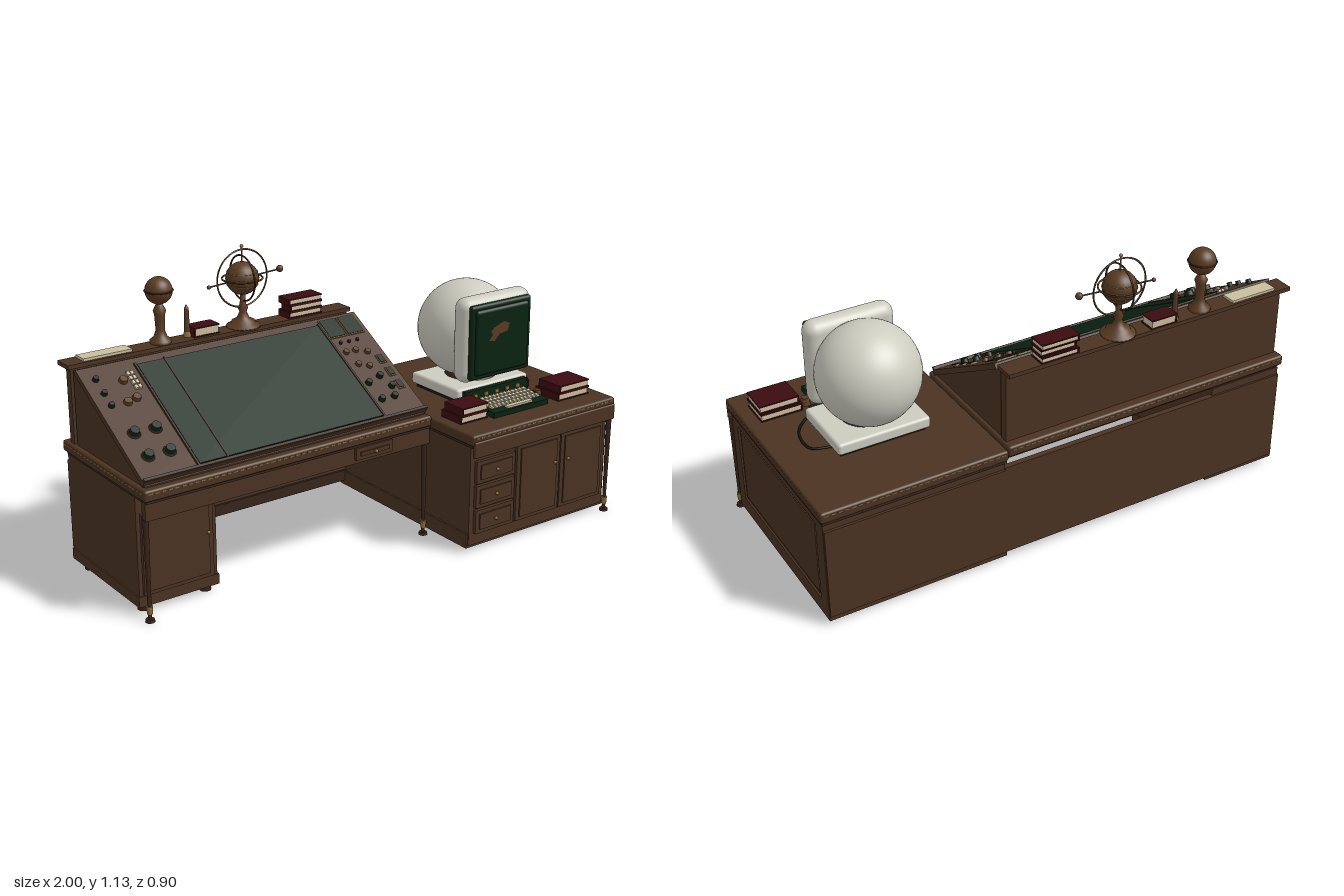
import * as THREE from 'three';
import { RoundedBoxGeometry } from 'three/addons/geometries/RoundedBoxGeometry.js';

export function createModel() {
  const root = new THREE.Group();
  root.name = 'consoleDesk';
  const mat = (name, color) => {
    const m = new THREE.MeshStandardMaterial({ color });
    m.name = name;
    return m;
  };
  const wood = mat('wood', 0x4b3322), darkWood = mat('darkWood', 0x38251a), green = mat('darkGreen', 0x0a2312);
  const shell = mat('paleShell', 0xccccc0), cream = mat('cream', 0xc9be9e), red = mat('bookRed', 0x3a0b10);
  const brass = mat('brass', 0x8f6e38), black = mat('black', 0x14170f), bronze = mat('bronze', 0x5a3b22);

  const add = (name, geo, m, x, y, z, parent = root) => {
    const mesh = new THREE.Mesh(geo, m);
    mesh.name = name;
    mesh.position.set(x, y, z);
    parent.add(mesh);
    return mesh;
  };
  // box given by its limits
  const box = (name, m, x0, x1, y0, y1, z0, z1, parent = root) =>
    add(name, new THREE.BoxGeometry(x1 - x0, y1 - y0, z1 - z0), m, (x0 + x1) / 2, (y0 + y1) / 2, (z0 + z1) / 2, parent);
  const rounded = (name, m, x0, x1, y0, y1, z0, z1, r, seg = 3) =>
    add(name, new RoundedBoxGeometry(x1 - x0, y1 - y0, z1 - z0, seg, r), m, (x0 + x1) / 2, (y0 + y1) / 2, (z0 + z1) / 2);
  const cyl = (name, m, r0, r1, h, x, y, z, parent = root, seg = 16) =>
    add(name, new THREE.CylinderGeometry(r1, r0, h, seg), m, x, y, z, parent);
  const ball = (name, m, r, x, y, z, parent = root, seg = 24) =>
    add(name, new THREE.SphereGeometry(r, seg, seg * 0.75), m, x, y, z, parent);
  const lathe = (name, m, pts, x, y, z) =>
    add(name, new THREE.LatheGeometry(pts.map(p => new THREE.Vector2(...p)), 24), m, x, y, z);

  // front with a raised field and a knob
  const panelFront = (name, x0, x1, y0, y1, z, kx, ky) => {
    box(name, wood, x0, x1, y0, y1, z, z + 0.014);
    box(name + 'Field', wood, x0 + 0.018, x1 - 0.018, y0 + 0.016, y1 - 0.016, z + 0.014, z + 0.02);
    ball(name + 'Knob', brass, 0.007, kx, ky, z + 0.026, root, 10);
  };
  // turned post with brass ferrule and foot
  const leg = (x, z, h) => {
    cyl('legPost', darkWood, 0.007, 0.011, h - 0.06, x, 0.06 + (h - 0.06) / 2, z);
    cyl('legFerrule', brass, 0.01, 0.012, 0.03, x, 0.045, z);
    cyl('legStem', darkWood, 0.007, 0.007, 0.03, x, 0.02, z);
    cyl('legFoot', darkWood, 0.018, 0.016, 0.01, x, 0.005, z);
  };
  // short brass inlays along a table edge
  const inlay = (x0, z0, x1, z1, y) => {
    const len = Math.hypot(x1 - x0, z1 - z0), n = Math.round(len / 0.026);
    for (let i = 0; i < n; i++) {
      const t = (i + 0.5) / n, alongX = Math.abs(x1 - x0) > Math.abs(z1 - z0);
      add('edgeInlay', new THREE.BoxGeometry(alongX ? 0.016 : 0.003, 0.005, alongX ? 0.003 : 0.016), brass,
        x0 + (x1 - x0) * t, y, z0 + (z1 - z0) * t);
    }
  };
  const books = (x0, x1, z0, z1, y, n, h) => {
    for (let i = 0; i < n; i++) {
      const d = (i % 2) * 0.008, a = y + i * h;
      box('bookCover', red, x0 + d, x1 - 0.004, a, a + 0.005, z0 + d, z1);
      box('bookPages', cream, x0 + d + 0.006, x1 - 0.008, a + 0.005, a + h - 0.005, z0 + d + 0.004, z1 - 0.004);
      box('bookCover', red, x0 + d, x1 - 0.004, a + h - 0.005, a + h, z0 + d, z1);
      box('bookSpine', red, x0 + d, x0 + d + 0.006, a + 0.005, a + h - 0.005, z0 + d, z1);
    }
  };

  // --- Cabinet desk ---
  box('cabinetBody', wood, 0.265, 0.975, 0.03, 0.45, -0.4, 0.41);
  box('cabinetPlinth', wood, 0.258, 0.982, 0.02, 0.08, -0.405, 0.405);
  rounded('cabinetTop', wood, 0.25, 0.99, 0.447, 0.49, -0.41, 0.44, 0.01);
  box('cabinetMoulding', darkWood, 0.258, 0.984, 0.437, 0.448, -0.405, 0.43);
  rounded('cabinetLip', wood, 0.256, 0.986, 0.4, 0.465, 0.43, 0.447, 0.006);
  for (const [ya, yb] of [[0.285, 0.375], [0.185, 0.275], [0.08, 0.175]])
    panelFront('drawer', 0.285, 0.478, ya, yb, 0.412, 0.38, (ya + yb) / 2);
  panelFront('door', 0.488, 0.712, 0.08, 0.395, 0.412, 0.68, 0.285);
  panelFront('door', 0.718, 0.945, 0.08, 0.395, 0.412, 0.75, 0.285);
  box('sideStile', wood, 0.975, 0.982, 0.08, 0.437, 0.35, 0.405);
  box('sideStile', wood, 0.975, 0.982, 0.08, 0.437, -0.4, -0.34);
  box('sideRail', wood, 0.975, 0.982, 0.41, 0.437, -0.34, 0.35);
  box('sideField', wood, 0.975, 0.979, 0.095, 0.395, -0.325, 0.335);
  box('cabinetBack', wood, 0.265, 0.98, 0.04, 0.41, -0.41, -0.4);
  leg(0.978, 0.424, 0.41);
  inlay(0.26, 0.44, 0.98, 0.44, 0.478);
  inlay(0.99, -0.4, 0.99, 0.43, 0.478);
  inlay(0.26, -0.41, 0.98, -0.41, 0.478);

  // --- Long desk ---
  rounded('longTop', wood, -1, 0.25, 0.46, 0.503, -0.41, 0.2, 0.01);
  box('longMoulding', darkWood, -0.99, 0.25, 0.45, 0.462, -0.395, 0.19);
  box('frontApron', wood, -0.992, 0.25, 0.385, 0.455, 0.16, 0.185);
  panelFront('pencilDrawer', -0.11, 0.06, 0.402, 0.45, 0.185, -0.025, 0.426);
  box('pedestal', wood, -0.985, -0.665, 0.03, 0.45, -0.4, 0.1);
  box('pedestalPlinth', wood, -0.99, -0.66, 0.025, 0.065, -0.403, 0.105);
  panelFront('pedestalDoor', -0.97, -0.685, 0.07, 0.38, 0.1, -0.71, 0.25);
  box('backPanel', wood, -0.985, 0.265, 0.04, 0.42, -0.408, -0.385);
  box('backRail', darkWood, -0.665, 0.265, 0.04, 0.085, -0.385, -0.375);
  for (const x of [-0.955, -0.7]) for (const z of [0.07, -0.33])
    cyl('pedestalFoot', darkWood, 0.022, 0.022, 0.03, x, 0.015, z);
  leg(-0.985, 0.17, 0.39);
  leg(0.238, 0.17, 0.39);
  inlay(-0.99, 0.2, 0.24, 0.2, 0.49);
  inlay(-0.99, -0.41, 0.24, -0.41, 0.49);
  inlay(-1, -0.4, -1, 0.19, 0.49);

  // --- Upright back and shelf ---
  box('backWall', wood, -0.985, 0.24, 0.49, 0.795, -0.37, -0.338);
  box('shelf', wood, -0.998, 0.25, 0.792, 0.808, -0.41, -0.328);
  // sloping console housing
  const prof = new THREE.Shape([[-0.17, 0.5], [0.325, 0.5], [0.325, 0.788], [0.3, 0.78], [-0.17, 0.508]].map(p => new THREE.Vector2(...p)));
  const housing = add('consoleHousing', new THREE.ExtrudeGeometry(prof, { depth: 1.215, bevelEnabled: false }), wood, -0.98, 0, 0);
  housing.rotation.y = Math.PI / 2;

  // --- Control surface: local y runs up the slope, z stands out of it ---
  const slope = new THREE.Group();
  slope.name = 'controlSurface';
  slope.position.set(0, 0.522, 0.172);
  slope.rotation.x = -1.041;
  root.add(slope);
  const L = 0.545, v = y => (y - 0.522) / 0.505;
  box('surfaceBoard', wood, -0.985, 0.245, 0, L, -0.022, 0, slope);
  box('drawingBoard', green, -0.755, 0.045, 0.02, L - 0.035, 0, 0.006, slope);
  box('boardRule', darkWood, -0.645, -0.64, 0.015, L - 0.03, 0.006, 0.009, slope);
  box('lowerLedge', darkWood, -0.985, 0.245, 0, 0.012, 0, 0.012, slope);
  for (const x of [-0.762, 0.05]) box('boardTrim', darkWood, x - 0.004, x + 0.004, 0.012, L - 0.03, 0, 0.009, slope);
  const knob = (name, m, x, y, r, h) => {
    cyl(name, m, r, r * 0.85, h, x, v(y), h / 2, slope).rotation.x = Math.PI / 2;
  };
  for (const x of [-0.915, -0.83]) for (const y of [0.575, 0.63]) {
    knob('knobRing', darkWood, x, y, 0.025, 0.005);
    knob('largeKnob', green, x, y, 0.02, 0.022);
  }
  for (const y of [0.7, 0.73, 0.765]) knob('smallKnob', green, -0.935, y, 0.012, 0.016);
  for (const [x, y] of [[-0.84, 0.75], [-0.87, 0.7], [-0.83, 0.705]]) knob('dial', bronze, x, y, 0.017, 0.014);
  for (let i = 0; i < 2; i++) for (let j = 0; j < 4; j++)
    box('keyButton', cream, -0.815 + i * 0.015, -0.803 + i * 0.015, 0.40 + j * 0.022, 0.417 + j * 0.022, 0, 0.01, slope);
  for (const x of [0.058, 0.145]) {
    box('meterFrame', brass, x, x + 0.08, v(0.74), v(0.79), 0, 0.005, slope);
    box('meterGlass', green, x + 0.004, x + 0.076, v(0.742), v(0.788), 0.005, 0.007, slope);
  }
  for (const [x, y] of [[0.09, 0.57], [0.15, 0.57], [0.085, 0.615], [0.15, 0.625], [0.17, 0.595]])
    knob('sideKnob', green, x, y, 0.014, 0.018);
  for (const [x, y] of [[0.085, 0.70], [0.13, 0.70], [0.175, 0.69], [0.1, 0.665], [0.14, 0.655]])
    knob('sideDial', bronze, x, y, 0.013, 0.012);
  for (const y of [0.595, 0.63, 0.665]) {
    box('switchPlate', brass, 0.193, 0.223, v(y) - 0.022, v(y) + 0.022, 0, 0.005, slope);
    box('switchWell', black, 0.197, 0.219, v(y) - 0.018, v(y) + 0.018, 0.005, 0.007, slope);
  }
  for (const x of [0.09, 0.13, 0.17]) knob('indicator', red, x, 0.725, 0.007, 0.01);

  // --- Shelf ornaments ---
  box('paperStack', cream, -0.93, -0.73, 0.808, 0.818, -0.4, -0.34);
  lathe('globeStand', bronze, [[0, 0], [0.042, 0], [0.042, 0.012], [0.026, 0.025], [0.017, 0.05], [0.02, 0.11], [0.025, 0.125], [0.012, 0.15], [0, 0.155]], -0.595, 0.808, -0.37);
  ball('smallGlobe', bronze, 0.052, -0.595, 1.01, -0.37);
  add('smallGlobeBand', new THREE.TorusGeometry(0.053, 0.003, 6, 32), darkWood, -0.595, 1.01, -0.37).rotation.x = Math.PI / 2;
  cyl('figurineBase', brass, 0.016, 0.012, 0.02, -0.475, 0.818, -0.38);
  cyl('figurine', bronze, 0.011, 0.009, 0.09, -0.475, 0.873, -0.38);
  cyl('figurineTip', bronze, 0.009, 0.001, 0.015, -0.475, 0.925, -0.38);
  books(-0.465, -0.35, -0.41, -0.342, 0.808, 1, 0.038);
  books(-0.04, 0.12, -0.41, -0.335, 0.808, 3, 0.026);

  // armillary sphere
  const ax = -0.235, ay = 1.0, az = -0.363;
  lathe('armillaryStand', bronze, [[0, 0], [0.066, 0], [0.066, 0.008], [0.048, 0.014], [0.045, 0.025], [0.025, 0.035], [0.014, 0.06], [0.02, 0.075], [0.012, 0.09], [0.01, 0.13], [0, 0.135]], ax, 0.808, az);
  ball('armillaryGlobe', bronze, 0.064, ax, ay, az);
  const ring = (r, m, rx, ry) => add('armillaryRing', new THREE.TorusGeometry(r, 0.0035, 6, 48), m, ax, ay, az).rotation.set(rx, ry, 0);
  ring(0.112, bronze, 0, 0);
  ring(0.088, darkWood, 0, Math.PI / 2);
  ring(0.078, bronze, Math.PI / 2, 0);
  for (const a of [-0.4, 0, 0.4]) {
    const r = 0.0645 * Math.cos(a);
    add('globeLatitude', new THREE.TorusGeometry(r, 0.0015, 5, 32), brass, ax, ay + 0.064 * Math.sin(a), az).rotation.x = Math.PI / 2;
  }
  cyl('armillaryPole', brass, 0.003, 0.003, 0.24, ax, 1.0, az);
  ball('poleFinial', brass, 0.007, ax, 1.125, az, root, 10);
  cyl('planetRod', darkWood, 0.003, 0.003, 0.32, ax + 0.01, 0.998, az).rotation.z = -Math.PI / 2 + 0.07;
  ball('planet', bronze, 0.014, -0.063, 1.01, az, root, 12);
  ball('smallPlanet', bronze, 0.008, -0.384, 0.987, az, root, 10);

  // --- Monitor ---
  ball('monitorShell', shell, 0.195, 0.61, 0.735, -0.033, root, 48);
  rounded('monitorBezel', shell, 0.435, 0.785, 0.57, 0.913, 0.075, 0.165, 0.043, 5);
  rounded('screen', green, 0.457, 0.765, 0.588, 0.89, 0.15, 0.178, 0.013, 4);
  rounded('screenBulge', green, 0.475, 0.747, 0.606, 0.872, 0.16, 0.189, 0.014, 4);
  const blob = new THREE.Shape([[0.535, 0.745], [0.565, 0.74], [0.59, 0.765], [0.63, 0.77], [0.64, 0.8], [0.61, 0.812], [0.56, 0.795], [0.545, 0.78], [0.555, 0.765]].map(p => new THREE.Vector2(...p)));
  add('screenImage', new THREE.ShapeGeometry(blob), bronze, 0, 0, 0.1905);
  cyl('monitorNeck', darkWood, 0.11, 0.09, 0.03, 0.61, 0.555, 0.0, root, 32);
  rounded('monitorBase', shell, 0.425, 0.795, 0.503, 0.55, -0.15, 0.14, 0.012);
  box('baseSole', black, 0.44, 0.78, 0.489, 0.505, -0.13, 0.13);
  box('baseFront', green, 0.45, 0.77, 0.495, 0.54, 0.13, 0.16);
  for (let i = 0; i < 5; i++) box('baseSwitch', brass, 0.49 + i * 0.055, 0.51 + i * 0.055, 0.51, 0.525, 0.16, 0.165);

  // --- Keyboard ---
  const kb = new THREE.Group();
  kb.name = 'keyboard';
  kb.position.set(0.58, 0.507, 0.27);
  kb.rotation.x = 0.1;
  root.add(kb);
  box('keyboardCase', green, -0.14, 0.14, -0.012, 0.012, -0.07, 0.07, kb);
  for (let r = 0; r < 4; r++) for (let c = 0; c < 13; c++) {
    const x = -0.128 + c * 0.0195 + (r % 2) * 0.004, z = -0.056 + r * 0.024;
    box('key', cream, x, x + 0.015, 0.012, 0.02, z, z + 0.018, kb);
  }
  box('spaceBar', cream, -0.065, 0.065, 0.012, 0.02, 0.043, 0.06, kb);
  const path = [[0.78, -0.07], [0.855, -0.04], [0.86, 0.04], [0.835, 0.1], [0.77, 0.16], [0.69, 0.21]].map(p => new THREE.Vector3(p[0], 0.498, p[1]));
  add('keyboardCable', new THREE.TubeGeometry(new THREE.CatmullRomCurve3(path), 32, 0.005, 6), black, 0, 0, 0);
  cyl('inkwell', bronze, 0.02, 0.014, 0.03, 0.745, 0.505, 0.25);
  books(0.295, 0.435, 0.2, 0.315, 0.489, 2, 0.031);
  books(0.77, 0.94, 0.215, 0.345, 0.489, 2, 0.031);

  return root;
}
